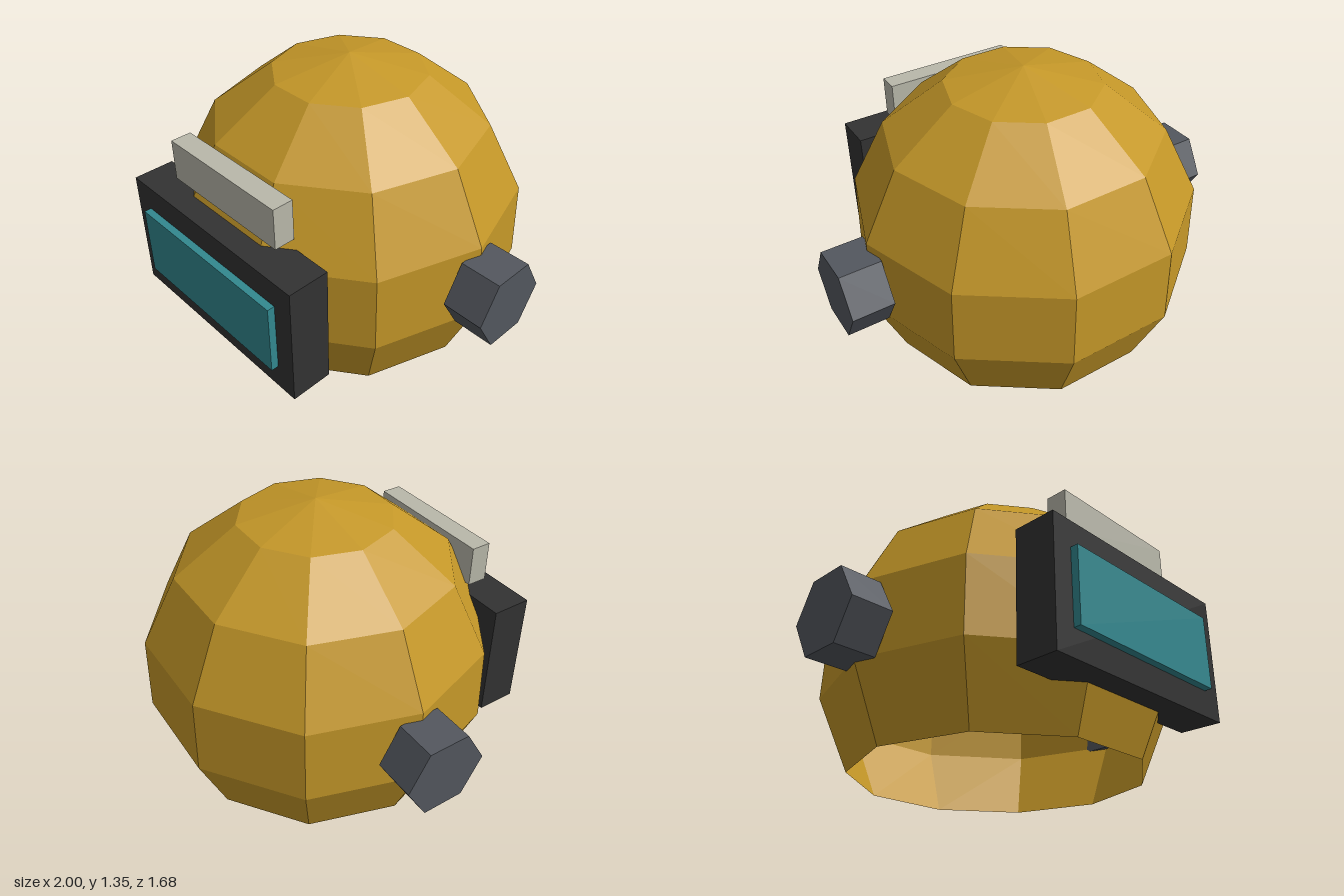
import * as THREE from 'three';

const material = (name, color, extra = {}) => {
  const m = new THREE.MeshStandardMaterial({ color, flatShading: true, ...extra });
  m.name = name;
  return m;
};

export function createModel() {
  const group = new THREE.Group();
  group.name = 'helmet';

  const gold = material('gold', 0xc49728, { side: THREE.DoubleSide });
  const black = material('black', 0x323232);
  const teal = material('teal', 0x32888f);
  const steel = material('steel', 0x53575e);
  const stone = material('stone', 0xb9b8aa);

  const add = (name, geometry, mat, x, y, z) => {
    const mesh = new THREE.Mesh(geometry, mat);
    mesh.name = name;
    mesh.position.set(x, y, z);
    group.add(mesh);
    return mesh;
  };

  // Faceted dome, open at the neck
  const centreZ = -0.045;
  add('dome', new THREE.SphereGeometry(0.85, 10, 5, 0, Math.PI * 2, 0, Math.PI * 0.7),
    gold, 0, 0.5, centreZ);

  // Visor: dark frame with a raised glass pane
  add('visorFrame', new THREE.BoxGeometry(1.1, 0.6, 0.2), black, 0, 0.5, 0.705);
  add('visorGlass', new THREE.BoxGeometry(0.9, 0.35, 0.05), teal, 0, 0.5, 0.815);

  // Brow plate above the visor
  add('browPlate', new THREE.BoxGeometry(0.7, 0.2, 0.1), stone, 0, 0.95, 0.655);

  // Hexagonal ear bolts
  const bolt = new THREE.CylinderGeometry(0.2, 0.2, 0.2, 6).rotateZ(Math.PI / 2);
  for (const side of [1, -1]) {
    add(side > 0 ? 'leftEarBolt' : 'rightEarBolt', bolt, steel, side * 0.9, 0.5, centreZ);
  }

  return group;
}
